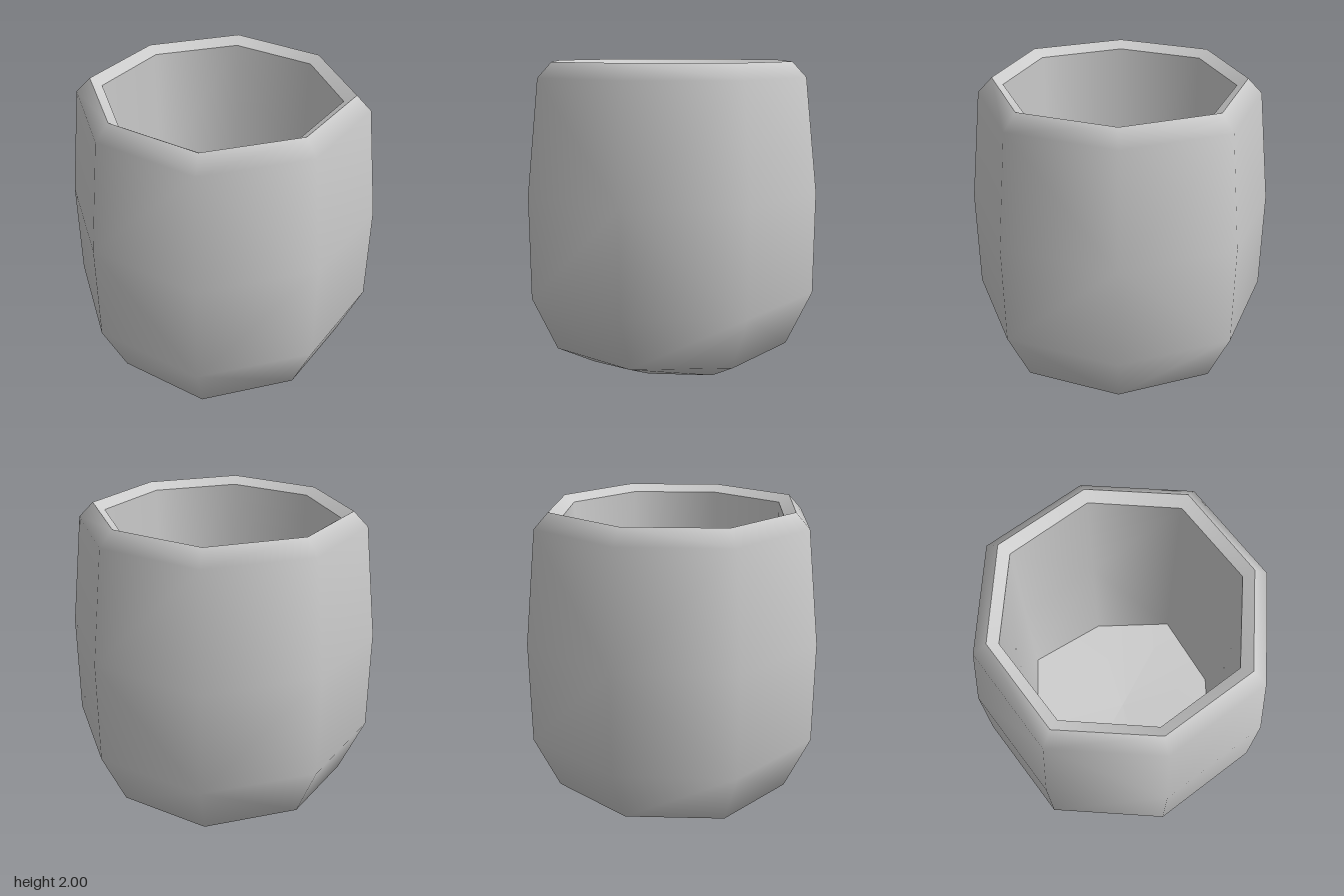
import * as THREE from 'three';

const SIDES = 8;

// Skins a list of octagonal rings [axis radius, diagonal x = z, y], in order.
// The axis and diagonal corners have separate distances, giving a slightly squared octagon.
// An optional fourth value lifts the diagonal corners. A ring of zero radius closes a part.
// The quads are split in mirrored pairs, starting with the given parity.
function skinRings(rings, parity) {
  const positions = [];
  const index = [];
  for (const [axis, diagonal, y, lift = 0] of rings) {
    for (let i = 0; i < SIDES; i++) {
      const a = (i / SIDES) * Math.PI * 2;
      const r = i % 2 ? diagonal * Math.SQRT2 : axis;
      positions.push(r * Math.sin(a), y + (i % 2) * lift, r * Math.cos(a));
    }
  }
  for (let k = 0; k < rings.length - 1; k++) {
    for (let i = 0; i < SIDES; i++) {
      const a = k * SIDES + i;
      const b = k * SIDES + (i + 1) % SIDES;
      const c = b + SIDES;
      const d = a + SIDES;
      if (rings[k][0] === 0) index.push(a, c, d);
      else if (rings[k + 1][0] === 0) index.push(a, b, c);
      else if ((k + i + parity) % 2 === 0) index.push(a, b, c, a, c, d);
      else index.push(a, b, d, b, c, d);
    }
  }
  const geometry = new THREE.BufferGeometry();
  geometry.setAttribute('position', new THREE.Float32BufferAttribute(positions, 3));
  geometry.setIndex(index);
  geometry.computeVertexNormals();
  return geometry;
}

export function createModel() {
  const group = new THREE.Group();
  group.name = 'cup';
  const material = new THREE.MeshStandardMaterial({ color: 0xcccccc });

  const addPart = (name, parity, rings) => {
    const mesh = new THREE.Mesh(skinRings(rings, parity), material);
    mesh.name = name;
    group.add(mesh);
  };

  // Rounded base, bulging wall and chamfered shoulder
  addPart('outerWall', 0, [
    [0, 0, 0],
    [0.46, 0.4, 0.045, 0.015],
    [0.785, 0.577, 0.185, 0.005],
    [0.95, 0.692, 0.54],
    [0.955, 0.696, 1.19],
    [0.875, 0.64, 1.905],
    [0.785, 0.575, 2],
  ]);

  // Rim sloping down toward the opening
  addPart('rim', 0, [
    [0.785, 0.575, 2],
    [0.718, 0.522, 1.955],
  ]);

  // Nearly straight inside wall, narrowing down to the floor
  addPart('innerWall', 1, [
    [0.718, 0.522, 1.955],
    [0.7, 0.522, 1.1],
    [0.65, 0.515, 0.22],
  ]);

  // Slightly dished floor
  addPart('floor', 0, [
    [0.65, 0.515, 0.22],
    [0, 0, 0.17],
  ]);

  return group;
}
